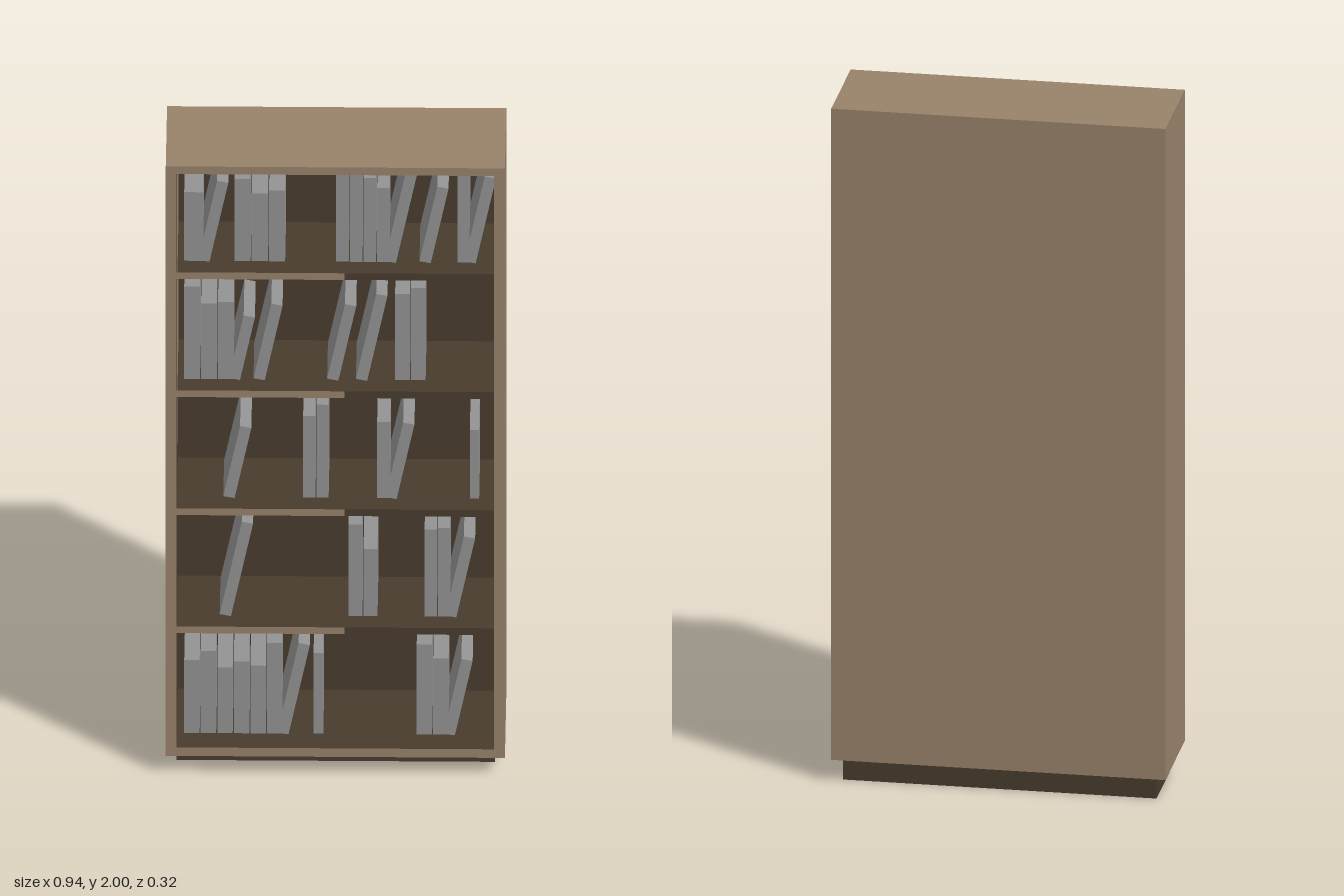
import * as THREE from 'three';

const oak = new THREE.MeshStandardMaterial({ color: 0x98826a });
oak.name = 'light oak';
const dark = new THREE.MeshStandardMaterial({ color: 0x483b2d });
dark.name = 'dark wood';
const grey = new THREE.MeshStandardMaterial({ color: 0x929292 });
grey.name = 'book grey';

// Cabinet: outer and inner half width, heights and depths
const W = 0.472, IW = 0.442, BOTTOM = 0.065, FLOOR = 0.093, CEIL = 1.975, TOP = 2;
const FRONT = 0.158, BACK = -0.158, INNER_BACK = -0.15;

// Rows of books repeat at an even pitch
const ROW_BASE = 0.095, ROW_PITCH = 0.3875;
const SHELF_GAP = 0.018, SHELF_THICKNESS = 0.022;

// Runs of books per row, bottom row first.
// Each run starts at x with upright books spaced by pitch; 'lean' is the height of a tipped book after them.
const rows = [
  [
    { x: -0.423, pitch: 0.046, upright: [0.24, 0.27, 0.215, 0.235, 0.222, 0.297], lean: 0.3 },
    { x: -0.063, pitch: 0.03, upright: [0.265] },
    { x: 0.224, pitch: 0.046, upright: [0.295, 0.25], lean: 0.25 },
  ],
  [
    { x: -0.307, lean: 0.31 },
    { x: 0.034, pitch: 0.042, upright: [0.3, 0.22] },
    { x: 0.246, pitch: 0.037, upright: [0.285, 0.29], lean: 0.265 },
  ],
  [
    { x: -0.297, lean: 0.235 },
    { x: -0.092, pitch: 0.037, upright: [0.268, 0.305] },
    { x: 0.114, pitch: 0.04, upright: [0.25], lean: 0.25 },
    { x: 0.372, pitch: 0.029, upright: [0.225] },
  ],
  [
    { x: -0.423, pitch: 0.047, upright: [0.303, 0.247, 0.253], lean: 0.21 },
    { x: -0.213, lean: 0.25 },
    { x: -0.008, lean: 0.25 },
    { x: 0.072, lean: 0.285 },
    { x: 0.164, pitch: 0.044, upright: [0.283, 0.303] },
  ],
  [
    { x: -0.423, pitch: 0.056, upright: [0.225], lean: 0.265 },
    { x: -0.283, pitch: 0.048, upright: [0.27, 0.222, 0.233] },
    { x: 0, pitch: 0.038, upright: [0.285, 0.322, 0.275, 0.243], lean: 0.295 },
    { x: 0.249, lean: 0.25 },
    { x: 0.338, pitch: 0.036, upright: [0.31], lean: 0.285 },
  ],
];

// Box between two corners; 'overrides' recolours single faces (+x, -x, +y, -y, +z, -z = 0..5)
function box(name, [x0, x1], [y0, y1], [z0, z1], material, overrides = {}) {
  const faces = Array.from({ length: 6 }, (_, i) => overrides[i] ?? material);
  const mesh = new THREE.Mesh(new THREE.BoxGeometry(x1 - x0, y1 - y0, z1 - z0), faces);
  mesh.position.set((x0 + x1) / 2, (y0 + y1) / 2, (z0 + z1) / 2);
  mesh.name = name;
  return mesh;
}

// A book standing on its base, tipped towards +x by 'angle'
function book(x, base, width, height, angle) {
  const depth = 0.19;
  const geometry = new THREE.BoxGeometry(width, height, depth);
  geometry.translate(0, height / 2, 0);
  const mesh = new THREE.Mesh(geometry, grey);
  mesh.position.set(x, base, 0.085 - depth / 2);
  mesh.rotation.z = -angle;
  mesh.name = angle ? 'leaningBook' : 'uprightBook';
  return mesh;
}

// One run: upright books side by side, then an optional leaning one
function bookRun(base, { x, pitch = 0, upright = [], lean }) {
  const run = new THREE.Group();
  run.name = 'bookRun';
  upright.forEach((height, i) => run.add(book(x + (i + 0.5) * pitch, base, pitch - 0.003, height, 0)));
  if (lean) run.add(book(x + upright.length * pitch, base, 0.032, lean, 0.2));
  return run;
}

export function createModel() {
  const model = new THREE.Group();
  model.name = 'bookcase';

  // Carcass: oak outside, dark inside and underneath
  const carcass = new THREE.Group();
  carcass.name = 'carcass';
  carcass.add(
    box('rightSide', [-W, -IW], [BOTTOM, TOP], [BACK, FRONT], oak, { 0: dark, 3: dark }),
    box('leftSide', [IW, W], [BOTTOM, TOP], [BACK, FRONT], oak, { 1: dark, 3: dark }),
    box('topPanel', [-IW, IW], [CEIL, TOP], [BACK, FRONT], oak, { 3: dark }),
    box('bottomPanel', [-IW, IW], [BOTTOM, FLOOR], [BACK, FRONT], oak, { 2: dark, 3: dark }),
    box('backPanel', [-IW, IW], [FLOOR, CEIL], [BACK, INNER_BACK], oak, { 4: dark }),
    box('plinth', [-0.443, 0.443], [0, BOTTOM], [-0.135, 0.075], dark));
  model.add(carcass);

  // Pale facing on the upper part of one inner wall, ending in a rounded corner
  const outline = new THREE.Shape();
  outline.moveTo(-INNER_BACK, CEIL);
  outline.lineTo(-FRONT, CEIL);
  outline.lineTo(-FRONT, 1.09);
  outline.absarc(-FRONT, 1.22, 0.13, -Math.PI / 2, 0, false);
  outline.lineTo(-INNER_BACK, 1.22);
  const facing = new THREE.Mesh(new THREE.ShapeGeometry(outline, 10), oak);
  facing.rotation.y = Math.PI / 2;
  facing.position.x = -IW + 0.002;
  facing.name = 'innerWallFacing';
  model.add(facing);

  rows.forEach((runs, i) => {
    const base = ROW_BASE + i * ROW_PITCH;

    // Shelf under every row but the lowest: oak front edge on one half, dark on the other
    if (i > 0) {
      const top = base - SHELF_GAP;
      const height = [top - SHELF_THICKNESS, top];
      const shelf = new THREE.Group();
      shelf.name = 'shelf';
      shelf.add(
        box('shelfRightHalf', [-IW, 0.025], height, [INNER_BACK, 0.117], dark, { 4: oak }),
        box('shelfLeftHalf', [0.025, IW], height, [INNER_BACK, 0.117], dark));
      model.add(shelf);
    }

    // Books on this row
    const row = new THREE.Group();
    row.name = 'bookRow';
    for (const run of runs) row.add(bookRun(base, run));
    model.add(row);
  });
  return model;
}
